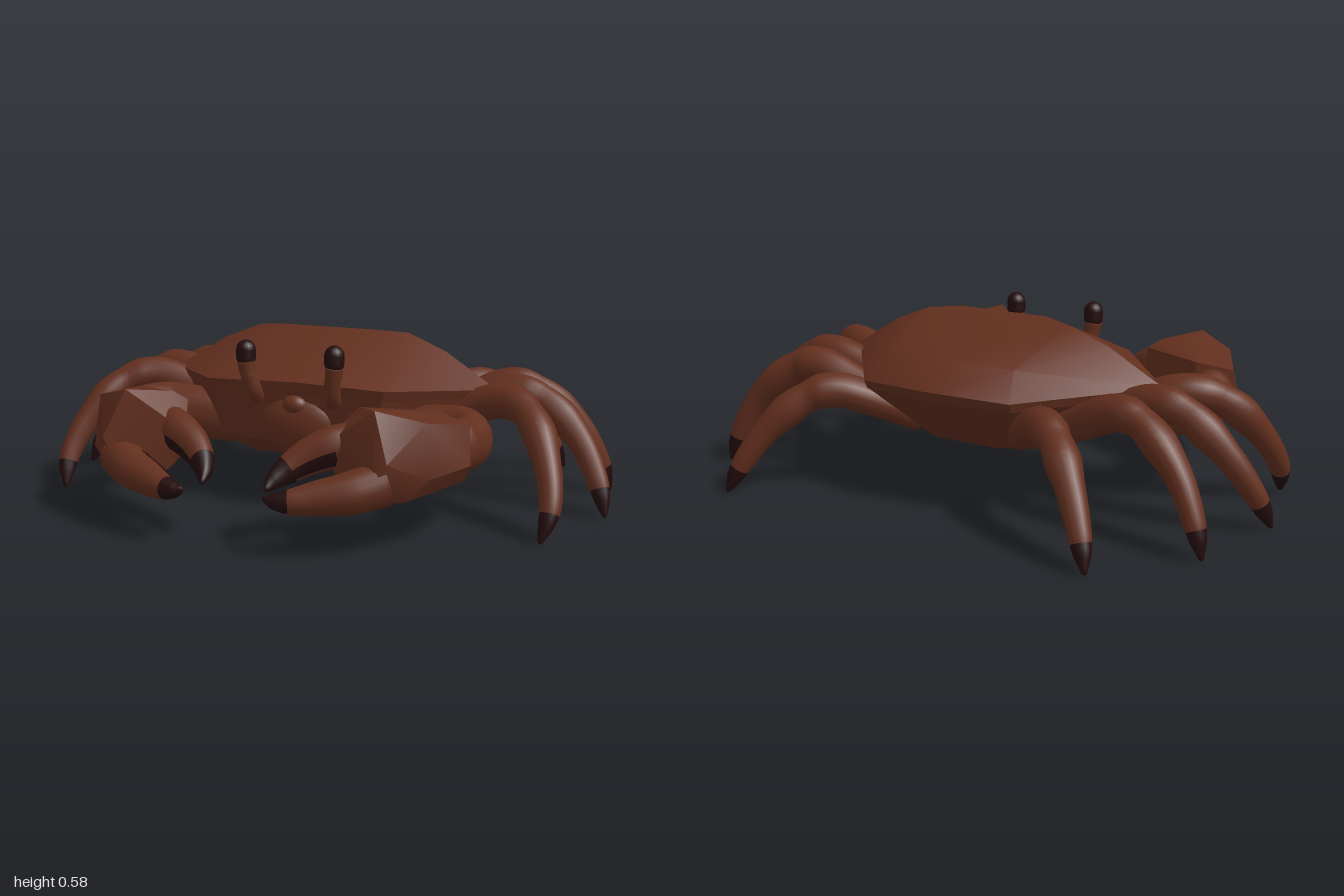
import * as THREE from 'three';
import { ConvexGeometry } from 'three/addons/geometries/ConvexGeometry.js';
import { toCreasedNormals } from 'three/addons/utils/BufferGeometryUtils.js';

const brown = new THREE.MeshStandardMaterial({ color: 0x622f1e });
brown.name = 'brown shell';
const dark = new THREE.MeshStandardMaterial({ color: 0x230c0d });
dark.name = 'dark tips';

const V = (x, y, z) => new THREE.Vector3(x, y, z);

// Tapered limb along a smooth path. The radii are spread evenly from start to end;
// tall stretches the section upward. isDark(t, dir) picks the dark material for each face.
function limb(name, points, radii, tall, side, isDark, rings = 30, sides = 16) {
  const path = new THREE.CatmullRomCurve3(points.map(p => V(p[0] * side, p[1], p[2])), false, 'centripetal');
  const radius = t => {
    const f = t * (radii.length - 1), i = Math.min(Math.floor(f), radii.length - 2);
    return THREE.MathUtils.lerp(radii[i], radii[i + 1], f - i);
  };
  const pos = [], dirs = [], faces = [[], []];
  const up = V(0, 1, 0.01);
  for (let i = 0; i <= rings; i++) {
    const t = i / rings, c = path.getPoint(t), tan = path.getTangent(t), r = radius(t);
    up.addScaledVector(tan, -up.dot(tan)).normalize();
    const across = V(0, 0, 0).crossVectors(tan, up);
    for (let j = 0; j < sides; j++) {
      const a = j / sides * Math.PI * 2;
      const d = up.clone().multiplyScalar(Math.cos(a)).addScaledVector(across, Math.sin(a));
      const p = c.clone().addScaledVector(up, Math.cos(a) * r * tall).addScaledVector(across, Math.sin(a) * r);
      pos.push(p.x, p.y, p.z);
      dirs.push(d);
    }
  }
  for (let i = 0; i < rings; i++) {
    for (let j = 0; j < sides; j++) {
      const a = i * sides + j, b = i * sides + (j + 1) % sides;
      const d = dirs[a].clone().add(dirs[b]).normalize();
      d.x *= side;
      faces[isDark((i + 0.5) / rings, d) ? 1 : 0].push(a, b, a + sides, b, b + sides, a + sides);
    }
  }
  // Close the far end with a small point
  const end = path.getPoint(1).addScaledVector(path.getTangent(1), 0.006);
  pos.push(end.x, end.y, end.z);
  const last = rings * sides, tip = last + sides;
  for (let j = 0; j < sides; j++) {
    faces[isDark(1, V(0, 0, 0)) ? 1 : 0].push(last + j, last + (j + 1) % sides, tip);
  }
  const g = new THREE.BufferGeometry();
  g.setAttribute('position', new THREE.Float32BufferAttribute(pos, 3));
  g.setIndex([...faces[0], ...faces[1]]);
  g.addGroup(0, faces[0].length, 0);
  g.addGroup(faces[0].length, faces[1].length, 1);
  g.computeVertexNormals();
  const mesh = new THREE.Mesh(g, [brown, dark]);
  mesh.name = name;
  return mesh;
}

// Solid around corner points, softened where faces meet gently
function hull(name, pts) {
  const mesh = new THREE.Mesh(toCreasedNormals(new ConvexGeometry(pts.map(p => V(...p))), 0.6), brown);
  mesh.name = name;
  return mesh;
}
const bothSides = pts => pts.flatMap(([x, y, z]) => (x ? [[x, y, z], [-x, y, z]] : [[x, y, z]]));

function ellipsoid(name, center, size) {
  const mesh = new THREE.Mesh(new THREE.SphereGeometry(1, 20, 14), brown);
  mesh.name = name;
  mesh.position.set(...center);
  mesh.scale.set(...size);
  return mesh;
}

// Walking legs, front to back, from hip over the knee to the tip
const legs = [
  [[.28, .25, -.06], [.5, .34, -.06], [.66, .39, -.03], [.755, .365, .03], [.845, .245, .135], [.885, .11, .22], [.87, .012, .274]],
  [[.28, .24, -.16], [.5, .34, -.18], [.64, .39, -.2], [.735, .372, -.2], [.87, .255, -.18], [.955, .115, -.132], [.99, .015, -.093]],
  [[.26, .24, -.26], [.45, .33, -.325], [.58, .385, -.355], [.67, .372, -.372], [.81, .255, -.41], [.89, .115, -.442], [.925, .015, -.46]],
  [[.2, .24, -.3], [.32, .32, -.43], [.41, .35, -.5], [.48, .327, -.553], [.58, .225, -.637], [.65, .105, -.698], [.687, .014, -.735]]
];
// Shared thickness, pinched at the knee joint
const legRadii = [.05, .054, .058, .06, .06, .06, .051, .058, .046, .041, .036, .027, .008];

function buildClaw(side) {
  const claw = new THREE.Group();
  claw.name = side > 0 ? 'leftClaw' : 'rightClaw';
  claw.add(limb('clawArm', [[.28, .27, .06], [.45, .285, .08], [.54, .29, .095], [.595, .29, .145], [.6, .29, .23],
    [.602, .3, .3], [.6, .305, .35]], [.07, .076, .078, .074, .067, .07, .05], 1.25, side, () => false));
  // Palm: narrow at the wrist, tall at the finger end
  claw.add(hull('clawPalm', [
    [.655, .38, .34], [.67, .26, .37], [.64, .2, .33], [.54, .405, .285], [.53, .22, .29],
    [.43, .45, .57], [.33, .43, .44], [.29, .4, .41], [.27, .25, .43], [.245, .32, .52],
    [.57, .41, .5], [.585, .24, .52], [.49, .3, .62], [.45, .24, .632], [.42, .165, .6],
    [.3, .19, .53], [.52, .17, .54]
  ].map(([x, y, z]) => [x * side, y, z])));
  // Gripping edges and tips are dark
  const edge = (start, ...grip) => {
    const g = V(...grip).normalize();
    return (t, d) => t > start || (t > .2 && d.dot(g) > .9);
  };
  claw.add(limb('fixedFinger', [[.46, .23, .56], [.38, .205, .62], [.29, .19, .665], [.215, .18, .705], [.165, .182, .725],
    [.14, .19, .733]], [.073, .067, .055, .04, .024, .008], 1, side, edge(.64, -.4, .7, -.6)));
  claw.add(limb('movingFinger', [[.35, .32, .455], [.27, .31, .505], [.2, .28, .54], [.15, .245, .58], [.12, .215, .625],
    [.11, .195, .66]], [.062, .058, .05, .039, .024, .008], 1.2, side, edge(.6, .5, -.3, .75)));
  return claw;
}

export function createModel() {
  const crab = new THREE.Group();
  crab.name = 'crab';

  // Faceted carapace with an angular rim
  crab.add(hull('carapace', bothSides([
    [.17, .59, -.09], [.28, .58, -.13], [.42, .525, -.12], [.25, .487, -.42], [0, .49, -.44],
    [0, .405, -.53], [.28, .4, -.5], [.61, .41, -.1], [.6, .385, -.1], [.32, .435, .21], [0, .445, .215],
    [.31, .4, .2], [0, .4, .21], [.28, .37, -.485], [0, .37, -.515]
  ])));
  // Underside tapers from the rim to a flat belly
  crab.add(hull('belly', bothSides([
    [.598, .387, -.1], [.309, .402, .199], [0, .402, .208], [.278, .372, -.484], [0, .372, -.513],
    [.42, .26, -.08], [.28, .23, .16], [.2, .17, .1], [.2, .165, -.2], [.12, .19, -.33], [0, .23, .19]
  ])));
  // Rounded mouth with a small bump above it
  crab.add(ellipsoid('mouth', [0, .3, .16], [.15, .11, .072]));
  crab.add(ellipsoid('noseBump', [0, .365, .2], [.045, .035, .034]));

  for (const side of [1, -1]) {
    const label = side > 0 ? 'left' : 'right';
    legs.forEach((points, i) => crab.add(
      limb(`${label}Leg${i + 1}`, points, legRadii, 1, side, t => t > .86, 44, 12)));
    crab.add(buildClaw(side));
    // Eye stalk with a dark capsule eye
    crab.add(limb(`${label}EyeStalk`, [[.14, .38, .19], [.143, .41, .22], [.15, .45, .235], [.156, .48, .24], [.16, .51, .242]],
      [.027, .029, .027, .028, .031], 1, side, () => false));
    const eye = new THREE.Mesh(new THREE.CapsuleGeometry(.033, .026, 6, 16), dark);
    eye.name = `${label}Eye`;
    eye.position.set(.16 * side, .536, .242);
    crab.add(eye);
  }
  return crab;
}
